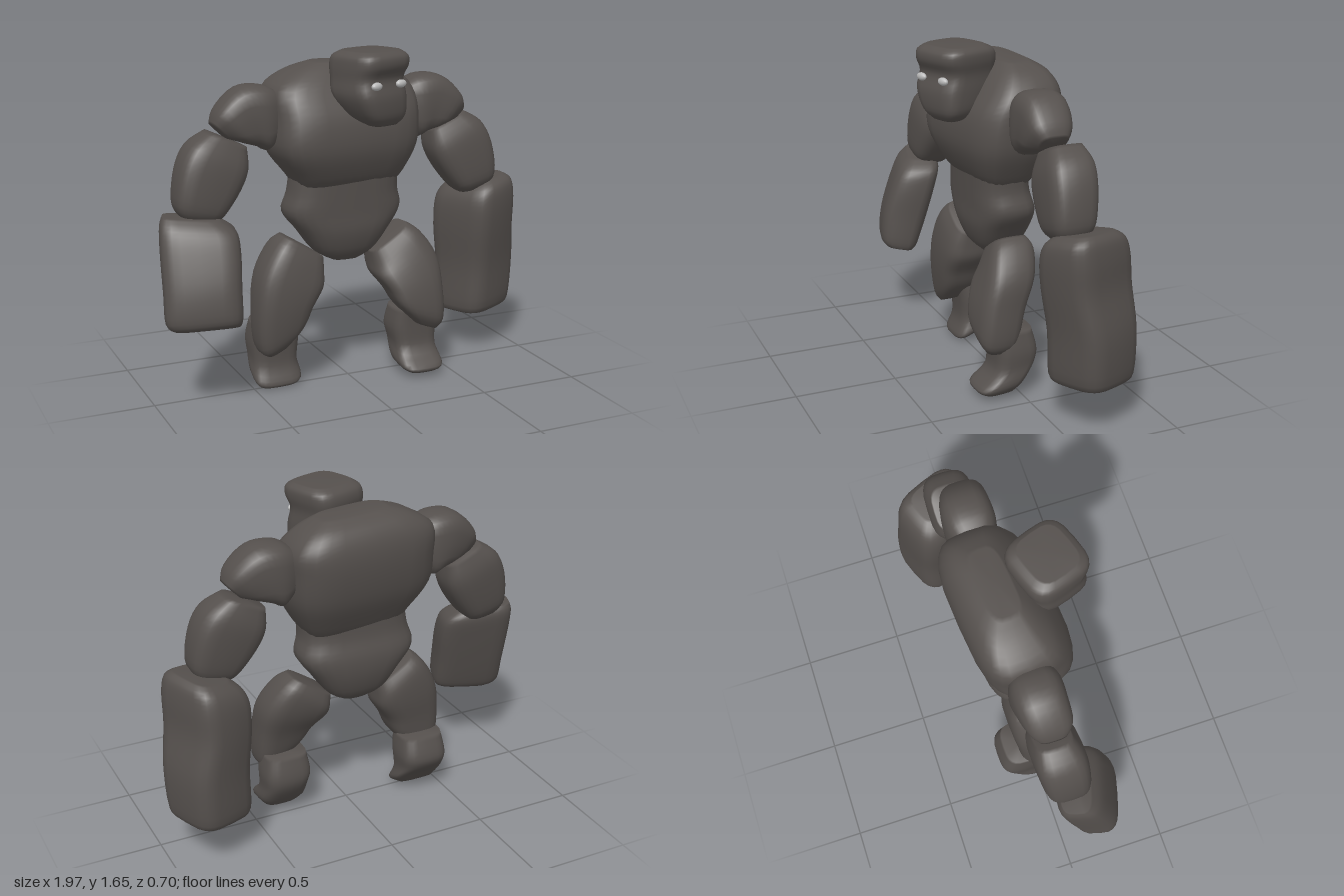
import * as THREE from 'three';

const SIDES = 24, STEPS = 4;

// Rounded stone lofted from bottom to top through rings:
// [x, y, z, width radius, depth radius, roll in degrees, yaw in degrees, slope of y along depth]
function stoneGeometry(rings, squareness) {
  const keys = rings.map(r => [...r, 0, 0, 0].slice(0, 8));
  const at = i => keys[Math.max(0, Math.min(keys.length - 1, i))];
  const spline = (a, b, c, d, t) =>
    0.5 * (2 * b + (c - a) * t + (2 * a - 5 * b + 4 * c - d) * t * t + (3 * b - a - 3 * c + d) * t ** 3);
  const smooth = [];
  for (let i = 0; i < keys.length - 1; i++) {
    for (let s = 0; s < STEPS; s++) {
      smooth.push(keys[i].map((_, k) => spline(at(i - 1)[k], at(i)[k], at(i + 1)[k], at(i + 2)[k], s / STEPS)));
    }
  }
  smooth.push(at(keys.length));

  const pos = [], index = [];
  const soften = v => Math.sign(v) * Math.abs(v) ** squareness;
  for (const [x, y, z, w, d, roll, yaw, slope] of smooth) {
    const r = THREE.MathUtils.degToRad(roll), t = THREE.MathUtils.degToRad(yaw);
    for (let j = 0; j < SIDES; j++) {
      const a = (j / SIDES) * Math.PI * 2;
      const p = w * soften(Math.cos(a)), q = d * soften(Math.sin(a));
      const u = p * Math.cos(t) + q * Math.sin(t), v = q * Math.cos(t) - p * Math.sin(t);
      pos.push(x + u * Math.cos(r), y + u * Math.sin(r) + v * slope, z + v);
    }
  }
  for (let i = 0; i < smooth.length - 1; i++) {
    for (let j = 0; j < SIDES; j++) {
      const a = i * SIDES + j, b = i * SIDES + (j + 1) % SIDES;
      index.push(a, a + SIDES, b, b, a + SIDES, b + SIDES);
    }
  }
  // end caps
  const bottom = pos.length / 3, top = bottom + 1, last = (smooth.length - 1) * SIDES;
  pos.push(...smooth[0].slice(0, 3), ...smooth[smooth.length - 1].slice(0, 3));
  for (let j = 0; j < SIDES; j++) {
    const k = (j + 1) % SIDES;
    index.push(bottom, j, k, top, last + k, last + j);
  }
  const geo = new THREE.BufferGeometry();
  geo.setAttribute('position', new THREE.Float32BufferAttribute(pos, 3));
  geo.setIndex(index);
  geo.computeVertexNormals();
  return geo;
}

export function createModel() {
  const group = new THREE.Group();
  const rock = new THREE.MeshStandardMaterial({ color: 0x55504d });
  rock.name = 'dark rock';
  const glow = new THREE.MeshStandardMaterial({ color: 0xb8b8b8 });
  glow.name = 'pale eye';

  const stone = (name, rings, squareness = 0.65) => {
    const mesh = new THREE.Mesh(stoneGeometry(rings, squareness), rock);
    mesh.name = name;
    group.add(mesh);
  };
  // Mirrors rings to the other side, moved by dx and dz
  const mirror = (rings, dx, dz) =>
    rings.map(([x, y, z, w, d, roll = 0]) => [-x + dx, y, z + dz, w, d, -roll]);

  // Torso
  stone('chest', [
    [-0.015, 1.0, -0.015, 0.25, 0.12, 0, 3],
    [-0.015, 1.06, -0.01, 0.29, 0.16, 0, 4],
    [-0.03, 1.19, -0.015, 0.365, 0.215, 0, 5],
    [-0.025, 1.34, -0.035, 0.375, 0.225, 0, 5],
    [-0.025, 1.46, -0.065, 0.37, 0.19, -2, 5],
    [-0.005, 1.54, -0.08, 0.28, 0.135, -2, 5],
    [0.01, 1.585, -0.07, 0.17, 0.07, -2, 5],
  ], 0.55);
  stone('abdomen', [
    [-0.015, 0.62, -0.03, 0.07, 0.06],
    [-0.02, 0.67, -0.03, 0.15, 0.11],
    [-0.02, 0.77, -0.03, 0.225, 0.145],
    [-0.025, 0.87, -0.03, 0.295, 0.15],
    [-0.025, 0.97, -0.015, 0.275, 0.14],
    [-0.015, 1.08, -0.01, 0.27, 0.14],
  ]);

  // Head, turned to its left
  stone('head', [
    [0.07, 1.315, 0.235, 0.07, 0.045, 0, 19],
    [0.055, 1.36, 0.215, 0.12, 0.1, 0, 19],
    [0.025, 1.45, 0.185, 0.15, 0.145, 0, 19],
    [0.02, 1.53, 0.17, 0.15, 0.14, 0, 19],
    [0.028, 1.59, 0.175, 0.157, 0.158, 0, 19],
    [0.032, 1.635, 0.178, 0.152, 0.15, 0, 19],
    [0.035, 1.66, 0.18, 0.12, 0.11, 0, 19],
  ], 0.55);
  for (const [name, x, z] of [['rightEye', -0.005, 0.331], ['leftEye', 0.14, 0.284]]) {
    const eye = new THREE.Mesh(new THREE.SphereGeometry(1, 14, 10), glow);
    eye.name = name;
    eye.scale.set(0.031, 0.019, 0.017);
    eye.position.set(x, 1.508, z);
    eye.rotation.y = 0.33;
    group.add(eye);
  }

  // Arms
  const upperArm = [
    [-0.645, 1.295, -0.02, 0.05, 0.065, -45],
    [-0.59, 1.315, -0.02, 0.105, 0.105, -52],
    [-0.505, 1.35, -0.03, 0.147, 0.12, -72],
    [-0.42, 1.345, -0.03, 0.152, 0.12, -87],
    [-0.35, 1.36, -0.03, 0.1, 0.09, -87],
  ];
  const forearm = [
    [-0.765, 0.895, 0.01, 0.08, 0.07, -10],
    [-0.76, 0.95, 0.01, 0.122, 0.105, -15],
    [-0.71, 1.08, 0, 0.157, 0.12, -22],
    [-0.66, 1.18, -0.01, 0.153, 0.117, -25],
    [-0.61, 1.26, -0.02, 0.1, 0.085, -25],
  ];
  stone('rightUpperArm', upperArm);
  stone('leftUpperArm', mirror(upperArm, -0.04, -0.03));
  stone('rightForearm', forearm, 0.6);
  stone('leftForearm', mirror(forearm, -0.045, -0.08), 0.6);

  // Heavy block fists, turned outward
  stone('rightFist', [
    [-0.785, 0.425, 0.19, 0.15, 0.075, 0, -16, 0.2],
    [-0.8, 0.465, 0.185, 0.177, 0.1, 0, -16, 0.2],
    [-0.795, 0.6, 0.155, 0.18, 0.115, 0, -16, 0.2],
    [-0.785, 0.77, 0.105, 0.185, 0.115, -3, -16, 0.1],
    [-0.785, 0.87, 0.07, 0.175, 0.105, -5, -16],
    [-0.81, 0.92, 0.045, 0.13, 0.07, -5, -16],
  ], 0.55);
  stone('leftFist', [
    [0.795, 0.225, -0.16, 0.13, 0.125, 4, 22],
    [0.795, 0.265, -0.16, 0.165, 0.165, 4, 22],
    [0.8, 0.48, -0.155, 0.168, 0.175, 4, 22],
    [0.777, 0.68, -0.135, 0.158, 0.19, 4, 22],
    [0.777, 0.82, -0.125, 0.155, 0.19, 6, 22],
    [0.785, 0.9, -0.12, 0.135, 0.17, 10, 22],
    [0.795, 0.94, -0.12, 0.09, 0.12, 10, 22],
  ], 0.55);

  // Legs
  stone('rightThigh', [
    [-0.395, 0.215, 0.03, 0.06, 0.06, 25],
    [-0.375, 0.28, 0.02, 0.125, 0.1, 23],
    [-0.36, 0.42, 0.02, 0.143, 0.12, 0],
    [-0.32, 0.55, 0.01, 0.165, 0.13, -15],
    [-0.275, 0.655, 0, 0.147, 0.12, -32],
    [-0.245, 0.715, 0, 0.115, 0.085, -32],
  ], 0.6);
  stone('leftThigh', [
    [0.36, 0.265, 0.12, 0.06, 0.06, -20],
    [0.33, 0.34, 0.115, 0.128, 0.1, -20],
    [0.31, 0.46, 0.09, 0.143, 0.115, 0],
    [0.28, 0.57, 0.045, 0.165, 0.125, 15],
    [0.235, 0.66, 0.01, 0.147, 0.115, 33],
    [0.2, 0.715, 0, 0.115, 0.085, 33],
  ], 0.6);
  stone('rightShin', [
    [-0.385, 0.03, -0.025, 0.09, 0.05, 0, 0, -0.4],
    [-0.375, 0.07, -0.035, 0.122, 0.085, 0, 0, -0.45],
    [-0.377, 0.15, -0.08, 0.115, 0.1, 0, 0, -0.3],
    [-0.375, 0.24, -0.085, 0.122, 0.11],
    [-0.375, 0.34, -0.06, 0.11, 0.1],
  ], 0.6);
  stone('leftShin', [
    [0.34, 0.04, 0.11, 0.085, 0.085, 0, 0, -0.08],
    [0.335, 0.08, 0.1, 0.115, 0.12, 0, 0, -0.15],
    [0.335, 0.16, 0.035, 0.11, 0.105, 0, 0, -0.2],
    [0.33, 0.25, 0.025, 0.12, 0.105],
    [0.33, 0.35, 0.04, 0.105, 0.095],
  ], 0.6);

  return group;
}
